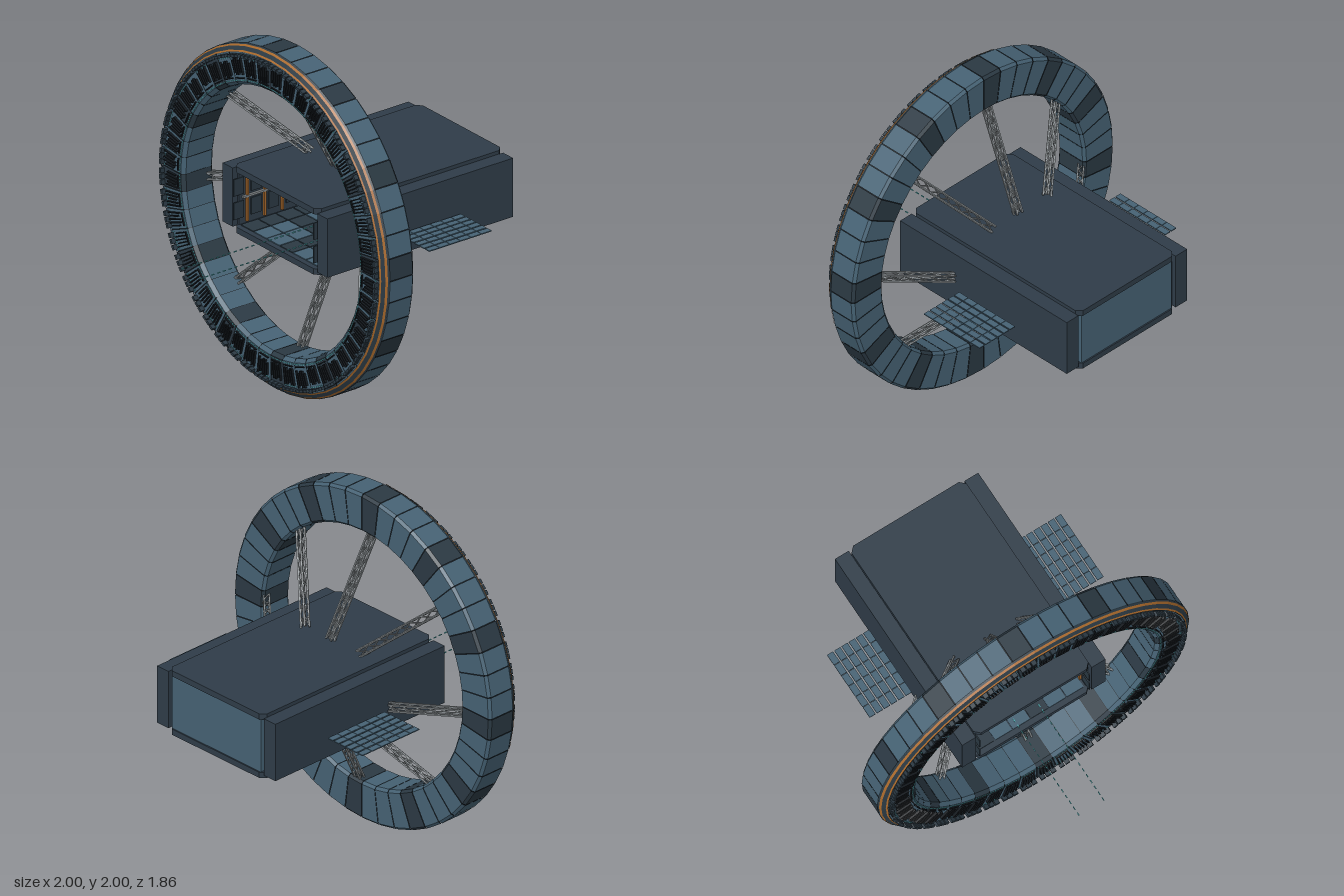
import * as THREE from 'three';
import { mergeGeometries } from 'three/addons/utils/BufferGeometryUtils.js';

const RAD = Math.PI / 180;
const material = (name, color) => Object.assign(new THREE.MeshStandardMaterial({ color }), { name });

// Box given by its limits on each axis
function box(x0, x1, y0, y1, z0, z1) {
  return new THREE.BoxGeometry(x1 - x0, y1 - y0, z1 - z0)
    .translate((x0 + x1) / 2, (y0 + y1) / 2, (z0 + z1) / 2);
}

// Square bar between two points
function bar(a, b, t) {
  const d = b.clone().sub(a);
  const g = new THREE.BoxGeometry(t, t, d.length());
  g.applyQuaternion(new THREE.Quaternion().setFromUnitVectors(new THREE.Vector3(0, 0, 1), d.normalize()));
  const m = a.clone().add(b).multiplyScalar(0.5);
  return g.translate(m.x, m.y, m.z);
}

// Box on the wheel: angle in degrees, radius, z, then radial, tangential and axial sizes
function wheelBox(deg, r, z, radial, tangential, depth) {
  return new THREE.BoxGeometry(radial, tangential, depth)
    .translate(r, 0, z).rotateZ(deg * RAD).translate(0, 1, 0);
}

// Sweep of an (r, z) profile around the wheel axis
function sweep(profile, deg, span, steps) {
  const pts = profile.map(([r, z]) => new THREE.Vector2(r, z));
  return new THREE.LatheGeometry(pts, steps, (deg + 90) * RAD, span * RAD)
    .rotateX(Math.PI / 2).translate(0, 1, 0);
}

// Plate with cut corners, lying flat
function cutPlate(hw, z0, z1, y0, y1, c) {
  const s = new THREE.Shape([
    [-hw + c, z0], [hw - c, z0], [hw, z0 + c], [hw, z1 - c],
    [hw - c, z1], [-hw + c, z1], [-hw, z1 - c], [-hw, z0 + c],
  ].map(([x, z]) => new THREE.Vector2(x, z)));
  return new THREE.ExtrudeGeometry(s, { depth: y1 - y0, bevelEnabled: false })
    .rotateX(Math.PI / 2).translate(0, y1, 0);
}

export function createModel() {
  const model = new THREE.Group();
  model.name = 'ringStation';

  const hull = material('darkHull', 0x2f3c48);
  const panel = material('bluePanel', 0x466274);
  const darkPanel = material('darkPanel', 0x2b3943);
  const black = material('black', 0x14191e);
  const grey = material('strutGrey', 0x858b8e);
  const orange = material('orange', 0xa8692c);
  const teal = material('tealLight', 0x55b9bd);

  // Merge pieces into one faceted mesh
  function part(name, mat, pieces) {
    const g = mergeGeometries(pieces.map((p) => (p.index ? p.toNonIndexed() : p)));
    g.computeVertexNormals();
    const mesh = new THREE.Mesh(g, mat);
    mesh.name = name;
    model.add(mesh);
  }

  // Wheel: 48 segments, every fourth one dark
  const profile = [
    [0.985, 0.17], [1, 0.185], [1, 0.34], [0.985, 0.36], [0.955, 0.38],
    [0.79, 0.38], [0.77, 0.36], [0.77, 0.185], [0.785, 0.17], [0.985, 0.17],
  ];
  const core = [[0.99, 0.18], [0.99, 0.345], [0.95, 0.374], [0.79, 0.374],
    [0.776, 0.355], [0.776, 0.18], [0.99, 0.18]];
  const light = [], dark = [], slats = [], lights = [], blocks = [];
  const STEP = 7.5;
  for (let i = 0; i < 48; i++) {
    const a = i * STEP, isDark = i % 4 === 0;
    (isDark ? dark : light).push(sweep(profile, a + 0.1, STEP - 0.2, 1));
    // radial slats
    for (let k = 0; k < 5; k++) {
      const d = a + 1.35 + k * 1.2;
      const len = (i + k) % 3 === 0 ? 0.07 : 0.095;
      slats.push(wheelBox(d, 0.87 + ((i % 3) - 1) * 0.008, 0.386, len, 0.0065, 0.014));
    }
    // raised edge blocks
    for (const k of [0.22, 0.5, 0.78]) {
      blocks.push(wheelBox(a + k * STEP, 0.94, 0.392, 0.016, 0.028, 0.03));
    }
    slats.push(wheelBox(a + STEP / 2, 0.81, 0.383, 0.006, 0.075, 0.012));
    // window dots
    for (let k = 0; k < 6; k++) {
      lights.push(wheelBox(a + 0.7 + k * 1.2, 0.797, 0.381, 0.004, 0.008, 0.006));
      if (i % 2) lights.push(wheelBox(a + 0.7 + k * 1.2, 0.925, 0.381, 0.004, 0.007, 0.006));
    }
  }
  part('wheelCore', black, [sweep(core, 0, 360, 48)]);
  part('wheelPanels', panel, light);
  part('wheelDarkPanels', darkPanel, dark);
  part('wheelSlats', black, slats);
  part('wheelEdgeBlocks', darkPanel, blocks);
  part('wheelWindows', teal, lights);
  part('wheelRimBand', darkPanel, [
    sweep([[1.001, 0.343], [0.988, 0.361], [0.957, 0.382]], 0, 360, 48)]);
  part('wheelOrangeStripes', orange, [
    sweep([[0.996, 0.352], [0.988, 0.363]], 0, 360, 48),
    sweep([[0.968, 0.376], [0.96, 0.383]], 0, 360, 48)]);

  // Lattice spokes from the hull to the wheel
  const chords = [], braces = [];
  for (let i = 0; i < 8; i++) {
    const t = (3.75 + 45 * i) * RAD, c = Math.cos(t), s = Math.sin(t);
    const r0 = Math.min(0.205 / Math.abs(s), 0.465 / Math.abs(c));
    const a = new THREE.Vector3(c * r0, 1 + s * r0, -0.08);
    const b = new THREE.Vector3(c * 0.785, 1 + s * 0.785, 0.21);
    const u = new THREE.Vector3(-s, c, 0);
    const v = b.clone().sub(a).normalize().cross(u);
    const at = (f, p, q) => a.clone().lerp(b, f).addScaledVector(u, p * 0.019).addScaledVector(v, q * 0.015);
    const corners = [[1, 1], [-1, 1], [-1, -1], [1, -1]];
    const bays = Math.round(a.distanceTo(b) / 0.07);
    corners.forEach((p, j) => {
      const q = corners[(j + 1) % 4];
      chords.push(bar(at(0, ...p), at(1, ...p), 0.009));
      for (let k = 0; k < bays; k++) {
        braces.push(bar(at(k / bays, ...p), at((k + 1) / bays, ...q), 0.006));
      }
    });
  }
  part('spokeChords', grey, chords);
  part('spokeBraces', grey, braces);

  // Hull: roof, floor, walls and side pods around an open bay
  const Z0 = -0.93, Z1 = 0.35;
  part('hullRoof', hull, [cutPlate(0.37, Z0, Z1, 1.165, 1.2, 0.03)]);
  part('hullFloor', hull, [cutPlate(0.37, Z0, Z1, 0.805, 0.84, 0.03)]);
  const walls = [], pods = [], ribs = [], beams = [], wallPanels = [];
  for (const side of [-1, 1]) {
    const sbox = (x0, x1, ...rest) => box(Math.min(side * x0, side * x1), Math.max(side * x0, side * x1), ...rest);
    walls.push(sbox(0.355, 0.368, 0.835, 1.17, Z0 + 0.03, Z1 - 0.03));
    pods.push(sbox(0.372, 0.46, 0.83, 1.18, Z0 + 0.005, Z1));
    // bay wall ribs and panels
    for (let k = 0; k < 10; k++) {
      const z = -0.82 + k * 0.12;
      ribs.push(sbox(0.342, 0.356, 0.85, 1.155, z, z + 0.014));
      wallPanels.push(sbox(0.349, 0.356, 0.88, 0.98, z + 0.03, z + 0.1));
      wallPanels.push(sbox(0.349, 0.356, 1.02, 1.12, z + 0.03, z + 0.1));
    }
    beams.push(sbox(0.34, 0.356, 0.995, 1.007, -0.88, 0.3));
    beams.push(sbox(0.34, 0.356, 1.145, 1.155, -0.88, 0.3));
  }
  part('hullWalls', hull, walls);
  part('sidePods', hull, pods);
  part('bayRibs', orange, ribs);
  part('bayBeams', grey, beams);
  part('bayWallPanels', darkPanel, wallPanels);
  part('rearBulkhead', panel, [box(-0.345, 0.345, 0.838, 1.167, -0.922, -0.895)]);

  // Bay floor tiles
  const tiles = [[], []];
  for (let i = 0; i < 6; i++) {
    for (let k = 0; k < 10; k++) {
      const x = -0.345 + i * 0.115, z = -0.88 + k * 0.12;
      tiles[(i * 2 + k * 3 + ((i * k) % 3)) % 3 ? 0 : 1].push(
        box(x + 0.003, x + 0.112, 0.838, 0.845, z + 0.003, z + 0.117));
    }
  }
  part('bayFloorTiles', panel, tiles[0]);
  part('bayDarkFloorTiles', darkPanel, tiles[1]);

  // Details on the inner bulkhead
  const vents = [], seams = [], lockers = [];
  for (const side of [-1, 1]) {
    for (let k = 0; k < 7; k++) {
      const y = 0.937 + k * 0.022;
      vents.push(box(side * 0.067 - 0.05, side * 0.067 + 0.05, y, y + 0.01, -0.896, -0.885));
    }
    seams.push(box(side * 0.24 - 0.12, side * 0.24 + 0.12, 0.907, 0.911, -0.896, -0.891));
    seams.push(box(side * 0.24 - 0.002, side * 0.24 + 0.002, 0.845, 0.98, -0.896, -0.891));
    lockers.push(box(side * 0.18 - 0.06, side * 0.18 + 0.06, 0.845, 0.9, -0.896, -0.86));
  }
  part('bulkheadVents', black, vents);
  part('bulkheadSeams', black, seams);
  part('bayLockers', panel, lockers);
  part('bayMarker', orange, [box(0.215, 0.245, 1.105, 1.135, -0.896, -0.885),
    box(-0.32, 0.32, 1.155, 1.16, -0.896, -0.885)]);

  // Approach light rows running out of the bay
  const guide = [];
  for (const x of [-0.08, 0.08]) {
    for (let k = 0; k < 45; k++) {
      const z = -0.85 + k * 0.04;
      guide.push(box(x - 0.0025, x + 0.0025, 0.847, 0.852, z, z + 0.02));
    }
  }
  part('approachLights', teal, guide);

  // Side collector panels in strips of cells
  const cells = [];
  for (const side of [-1, 1]) {
    for (let i = 0; i < 6; i++) {
      for (let k = 0; k < 6; k++) {
        const x = side * (0.5 + i * 0.0465), z = -0.55 + k * 0.0717;
        cells.push(box(x - 0.019, x + 0.019, 0.956, 0.962, z, z + 0.069));
      }
    }
  }
  part('collectorPanels', panel, cells);

  return model;
}
